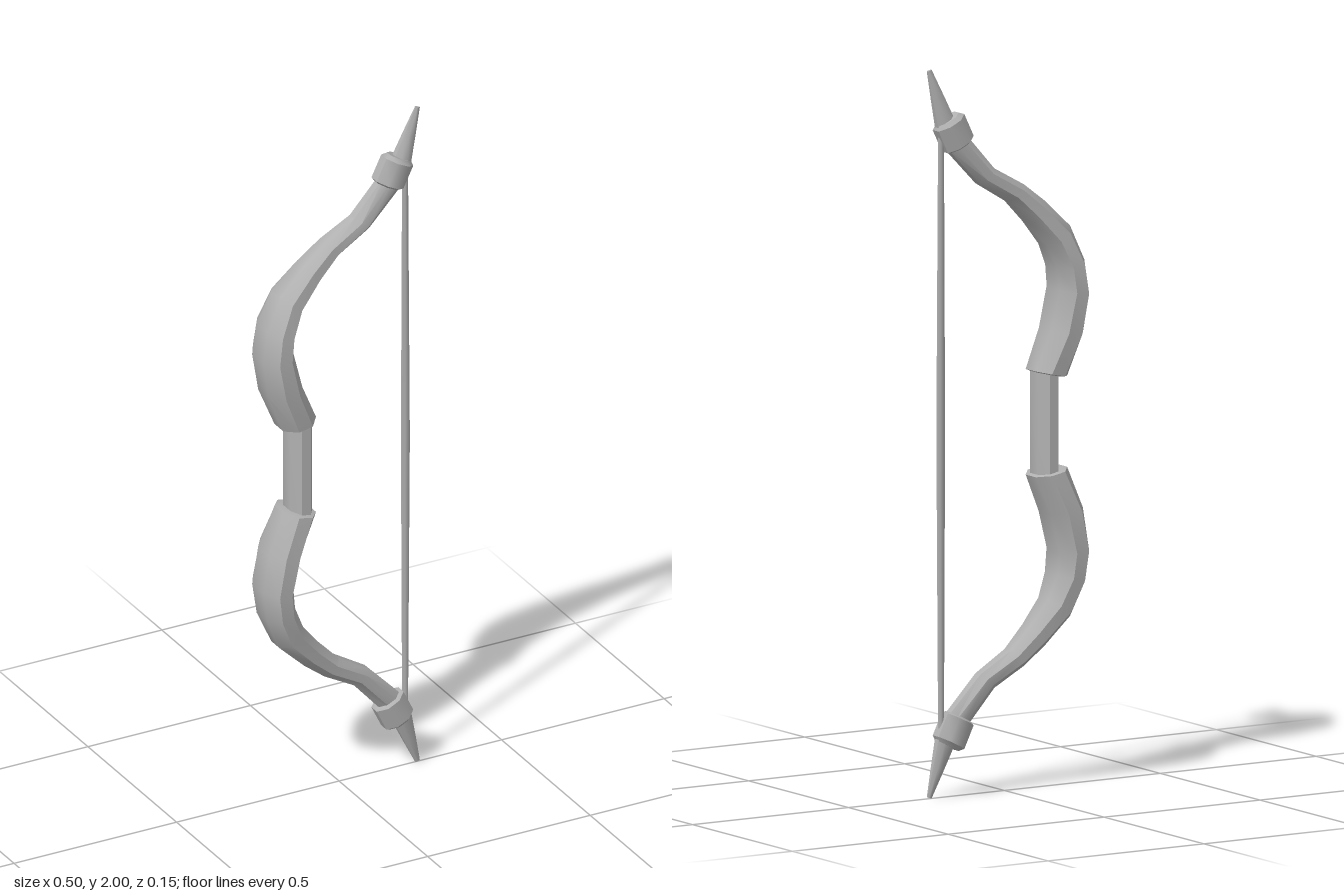
import * as THREE from 'three';
import { toCreasedNormals } from 'three/addons/utils/BufferGeometryUtils.js';

const SIDES = 8;
const grey = new THREE.MeshStandardMaterial({ color: 0xb0b0b0 });
grey.name = 'plain grey';

// Skin octagonal rings, each [outerX, outerY, innerX, innerY, halfWidthZ], and cap both ends.
function loft(rings) {
  const pos = [], index = [];
  for (const [ox, oy, ix, iy, w] of rings) {
    const cx = (ox + ix) / 2, cy = (oy + iy) / 2;
    for (let i = 0; i < SIDES; i++) {
      const t = ((i + 0.5) / SIDES) * Math.PI * 2, k = 1 / Math.cos(Math.PI / SIDES);
      const c = Math.cos(t) * k, s = Math.sin(t) * k;
      pos.push(cx + (ix - cx) * c, cy + (iy - cy) * c, w * s);
    }
  }
  const last = (rings.length - 1) * SIDES;
  for (let i = 0; i < SIDES; i++) {
    const j = (i + 1) % SIDES;
    for (let r = 0; r < last; r += SIDES) {
      index.push(r + i, r + SIDES + i, r + SIDES + j, r + i, r + SIDES + j, r + j);
    }
    if (i > 0 && i < SIDES - 1) index.push(0, i, j, last, last + j, last + i);
  }
  const geo = new THREE.BufferGeometry();
  geo.setAttribute('position', new THREE.Float32BufferAttribute(pos, 3));
  geo.setIndex(index);
  return toCreasedNormals(geo, 0.7);
}

// Ring centred on (x, y), square to an axis leaning by angle lean towards +x.
function ring(x, y, lean, r, w) {
  const px = Math.cos(lean) * r, py = -Math.sin(lean) * r;
  return [x - px, y - py, x + px, y + py, w];
}

// Turn upper rings into lower ones about mid height, keeping faces outward.
const flip = (rings) => rings.map(([a, b, c, d, w]) => [a, 2 - b, c, 2 - d, w]).reverse();

export function createModel() {
  const bow = new THREE.Group();
  bow.name = 'bow';
  const add = (name, rings) => {
    const mesh = new THREE.Mesh(loft(rings), grey);
    mesh.name = name;
    bow.add(mesh);
  };

  // Curved limb, broad near the grip and slim at the end
  const limb = [
    [-0.165, 1.125, -0.095, 1.14, 0.048],
    [-0.185, 1.125, -0.085, 1.145, 0.062],
    [-0.232, 1.24, -0.13, 1.25, 0.075],
    [-0.25, 1.35, -0.158, 1.36, 0.077],
    [-0.237, 1.44, -0.152, 1.42, 0.073],
    [-0.195, 1.535, -0.125, 1.485, 0.06],
    [-0.117, 1.61, -0.07, 1.553, 0.047],
    [-0.053, 1.66, -0.01, 1.615, 0.038],
    [0.04, 1.712, 0.085, 1.672, 0.031],
    [0.14, 1.825, 0.19, 1.78, 0.026],
  ];

  // Bevelled collar at the limb end
  const a = 0.46;
  const collar = [
    ring(0.147, 1.783, a, 0.037, 0.029),
    ring(0.149, 1.788, a, 0.046, 0.036),
    ring(0.179, 1.85, a, 0.046, 0.036),
    ring(0.184, 1.86, a, 0.034, 0.026),
  ];

  // Tapered tip
  const tip = [
    ring(0.188, 1.84, 0.33, 0.029, 0.022),
    ring(0.215, 1.92, 0.33, 0.018, 0.014),
    ring(0.241, 1.997, 0.33, 0.007, 0.004),
  ];

  for (const [side, place] of [['upper', (r) => r], ['lower', flip]]) {
    add(side + 'Limb', place(limb));
    add(side + 'Collar', place(collar));
    add(side + 'Tip', place(tip));
  }

  // Straight grip and string
  add('grip', [ring(-0.128, 0.86, 0, 0.033, 0.05), ring(-0.128, 1.14, 0, 0.033, 0.05)]);
  add('string', [
    ring(0.203, 0.19, 0, 0.008, 0.006),
    ring(0.204, 1, 0, 0.012, 0.008),
    ring(0.203, 1.81, 0, 0.008, 0.006),
  ]);
  return bow;
}
